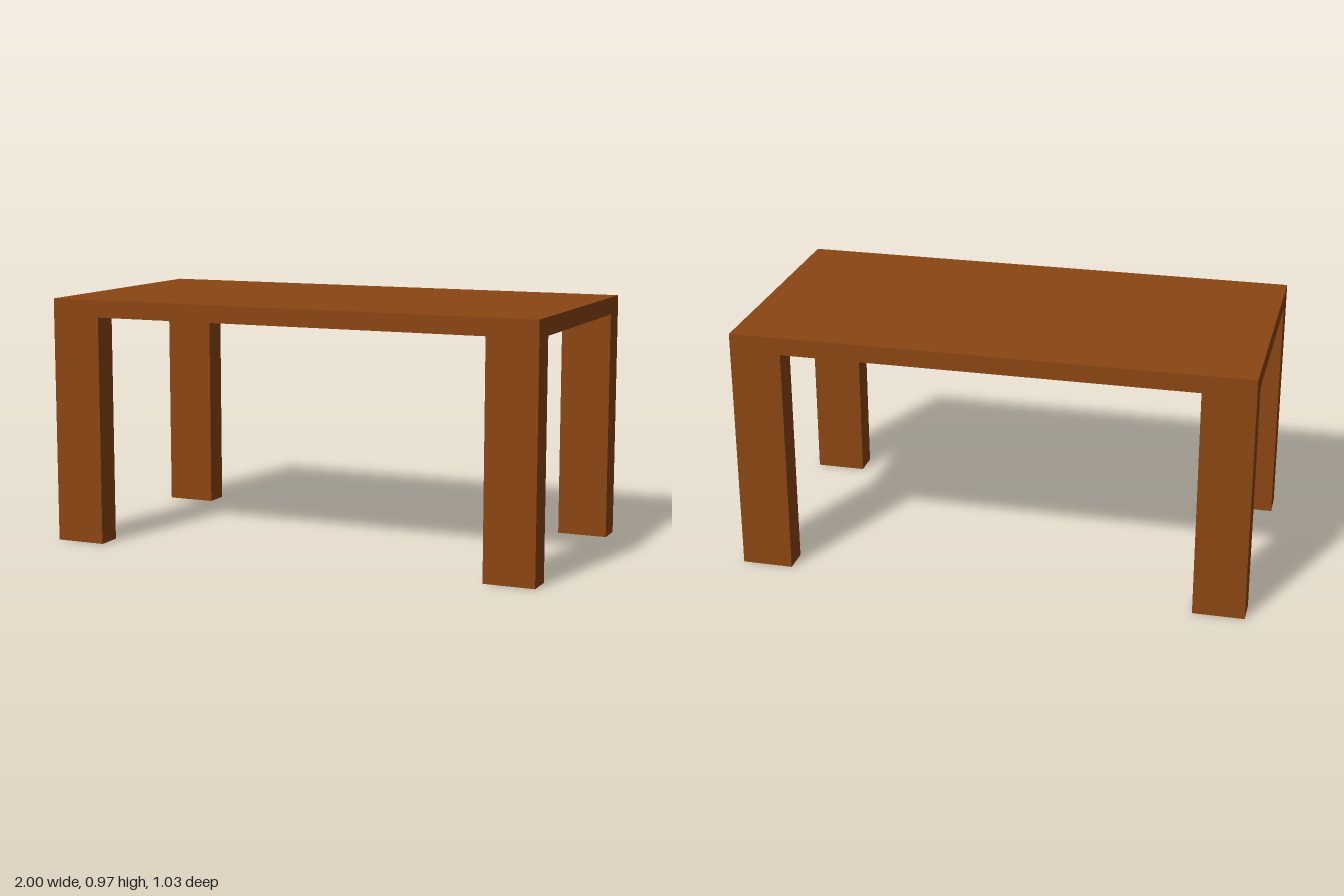
import * as THREE from 'three';

const WIDTH = 2, DEPTH = 1.034, HEIGHT = 0.973;
const UNDERSIDE = 0.905;
const LEG_X = 0.2, LEG_Z = 0.104;

export function createModel() {
  const table = new THREE.Group();
  table.name = 'table';

  const wood = new THREE.MeshStandardMaterial({ color: 0x8b4513 });
  wood.name = 'brown wood';

  const addBox = (name, w, h, d, x, y, z) => {
    const mesh = new THREE.Mesh(new THREE.BoxGeometry(w, h, d), wood);
    mesh.name = name;
    mesh.position.set(x, y, z);
    table.add(mesh);
  };

  // Slab top
  addBox('tabletop', WIDTH, HEIGHT - UNDERSIDE, DEPTH, 0, (HEIGHT + UNDERSIDE) / 2, 0);

  // Four legs, flush with the corners
  for (const [side, sx] of [['Left', 1], ['Right', -1]]) {
    for (const [end, sz] of [['front', 1], ['back', -1]]) {
      addBox(`${end}${side}Leg`, LEG_X, UNDERSIDE, LEG_Z,
        sx * (WIDTH - LEG_X) / 2, UNDERSIDE / 2, sz * (DEPTH - LEG_Z) / 2);
    }
  }

  return table;
}
